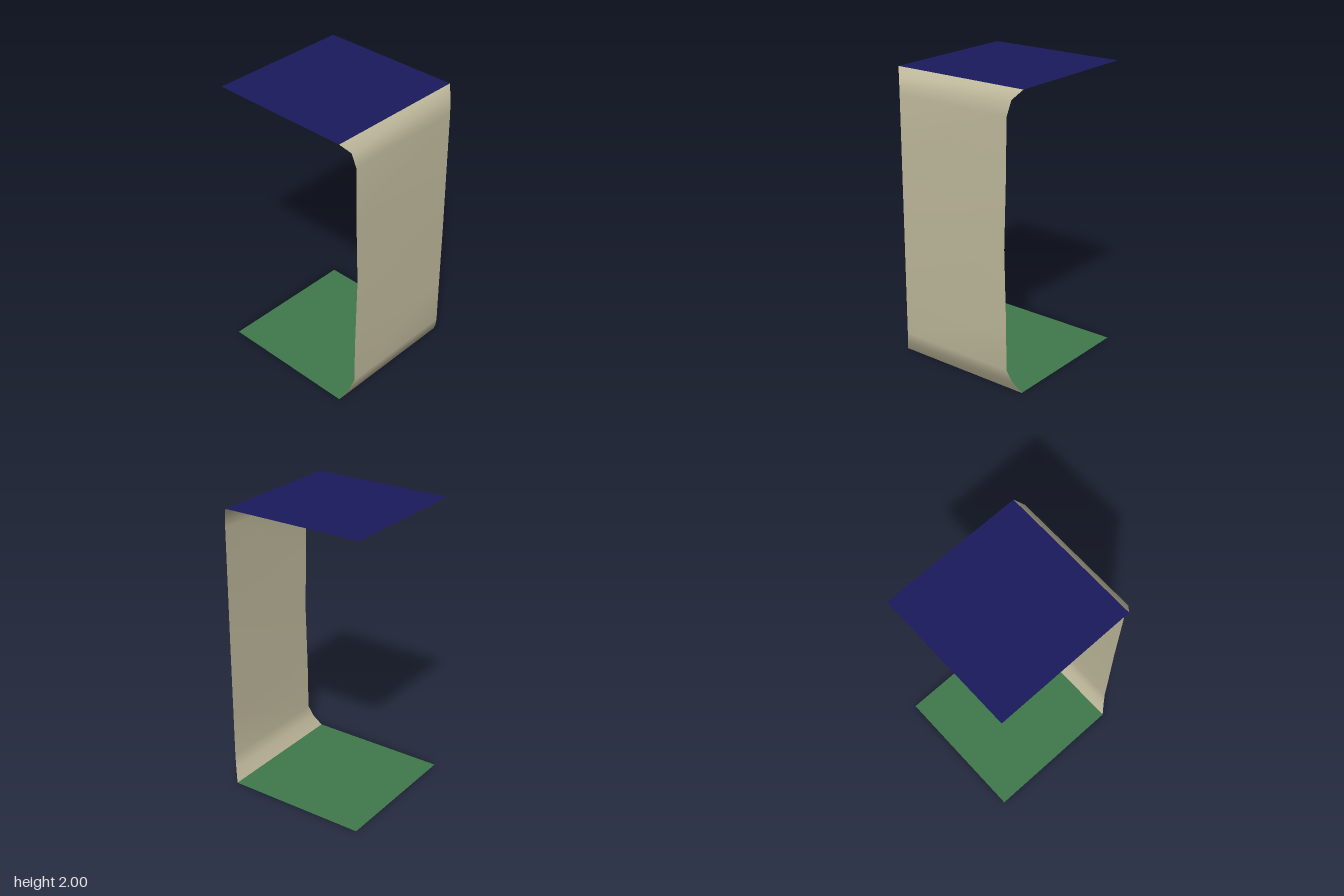
import * as THREE from 'three';

const material = (color) => new THREE.MeshStandardMaterial({ color, side: THREE.DoubleSide });

// Flat square sheet lying at height y
function sheet(name, color, y) {
  const geometry = new THREE.PlaneGeometry(1, 1).rotateX(-Math.PI / 2);
  const mesh = new THREE.Mesh(geometry, material(color));
  mesh.name = name;
  mesh.position.set(-0.04, y, 0);
  return mesh;
}

// Curved side sheet: each [x, y] row narrows in z as it bulges outward
function sideWall() {
  const profile = [
    [0.46, 0], [0.504, 0.085], [0.53, 0.17], [0.532, 0.5], [0.54, 1],
    [0.533, 1.45], [0.53, 1.84], [0.51, 1.94], [0.46, 2],
  ];
  const geometry = new THREE.PlaneGeometry(1, 2, 1, profile.length - 1);
  const position = geometry.attributes.position;
  [...profile].reverse().forEach(([x, y], row) => {
    const halfWidth = 0.96 - x;
    position.setXYZ(row * 2, x, y, halfWidth);
    position.setXYZ(row * 2 + 1, x, y, -halfWidth);
  });
  geometry.computeVertexNormals();
  const mesh = new THREE.Mesh(geometry, material(0xc2bc9e));
  mesh.name = 'sideWall';
  return mesh;
}

export function createModel() {
  const model = new THREE.Group();
  model.name = 'openFrame';
  model.add(sheet('topPanel', 0x1a1a5e, 2), sheet('bottomPanel', 0x40784c, 0), sideWall());
  return model;
}
